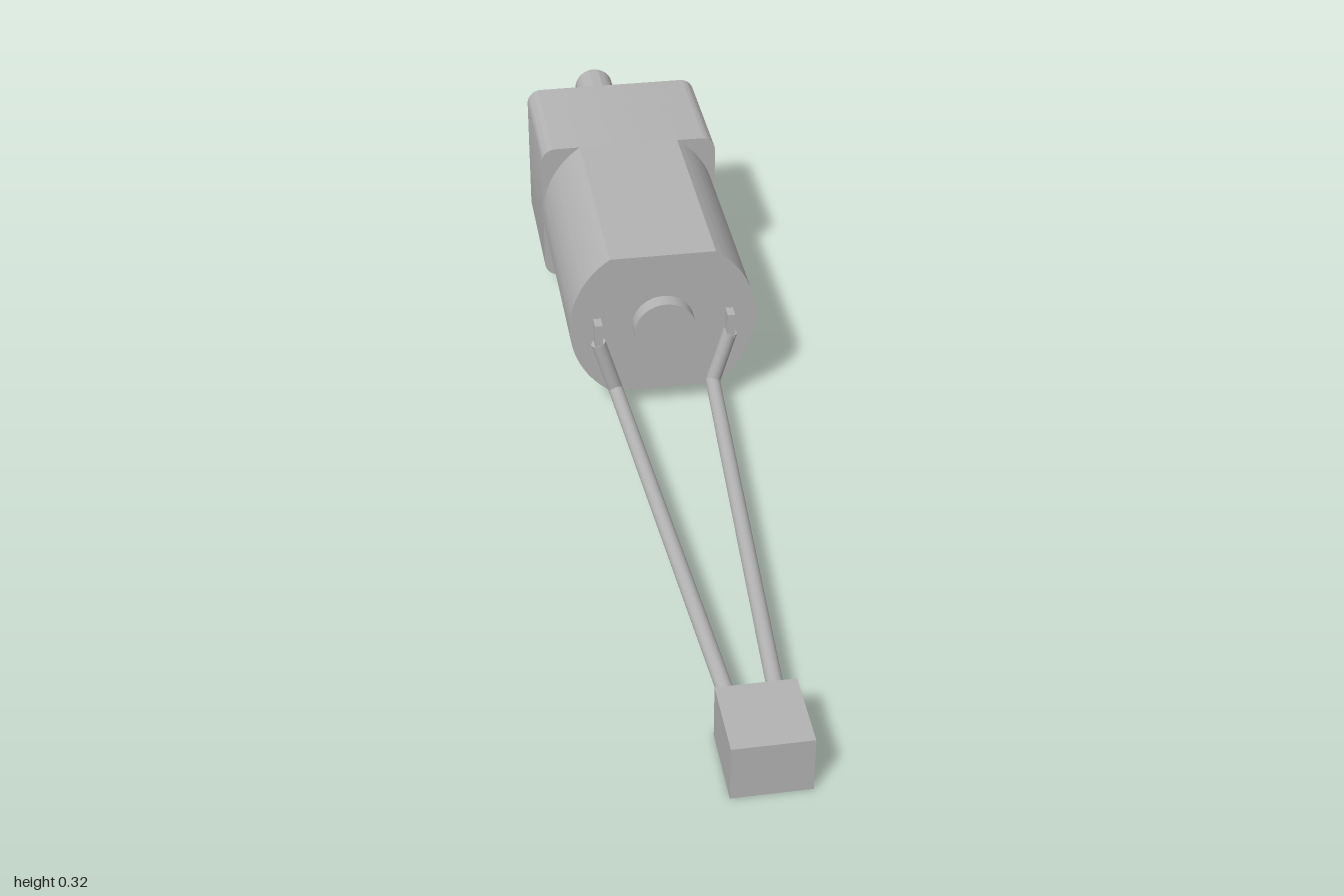
import * as THREE from 'three';
import { toCreasedNormals } from 'three/addons/utils/BufferGeometryUtils.js';

const AXIS_Y = 0.18; // height of the motor axis

export function createModel() {
  const group = new THREE.Group();
  const metal = new THREE.MeshStandardMaterial({ color: 0xb3b3b3 });
  metal.name = 'plain grey';

  const add = (name, geometry, x = 0, y = 0, z = 0) => {
    const mesh = new THREE.Mesh(geometry, metal);
    mesh.name = name;
    mesh.position.set(x, y, z);
    group.add(mesh);
    return mesh;
  };

  // Extrude a profile centred on the motor axis from z0 to z1
  const prism = (name, shape, z0, z1) => {
    const geo = new THREE.ExtrudeGeometry(shape, { depth: z1 - z0, bevelEnabled: false, curveSegments: 24 });
    return add(name, toCreasedNormals(geo, 0.5), 0, AXIS_Y, z0);
  };

  // Round bar between two points
  const rod = (name, a, b, r, sides = 32) => {
    const dir = b.clone().sub(a);
    const mesh = add(name, new THREE.CylinderGeometry(r, r, dir.length(), sides));
    mesh.position.copy(a).addScaledVector(dir, 0.5);
    mesh.quaternion.setFromUnitVectors(new THREE.Vector3(0, 1, 0), dir.normalize());
    return mesh;
  };
  const axial = (name, r, z0, z1) =>
    rod(name, new THREE.Vector3(0, AXIS_Y, z0), new THREE.Vector3(0, AXIS_Y, z1), r, 48);

  // Gearbox: rounded block with two blind mounting holes in the back
  const w = 0.172, h = 0.1425, c = 0.028;
  const block = () => {
    const s = new THREE.Shape();
    s.moveTo(w - c, -h);
    s.absarc(w - c, -h + c, c, -Math.PI / 2, 0);
    s.absarc(w - c, h - c, c, 0, Math.PI / 2);
    s.absarc(-w + c, h - c, c, Math.PI / 2, Math.PI);
    s.absarc(-w + c, -h + c, c, Math.PI, Math.PI * 1.5);
    s.closePath();
    return s;
  };
  const drilled = block();
  for (const side of [-1, 1]) {
    const hole = new THREE.Path();
    hole.absarc(side * 0.129, 0, 0.026, 0, Math.PI * 2, true);
    drilled.holes.push(hole);
  }
  prism('gearboxBack', drilled, -0.715, -0.615);
  prism('gearboxFront', block(), -0.615, -0.455);

  // Motor can: cylinder with flat top and bottom
  const a = Math.asin(h / w);
  const can = new THREE.Shape();
  can.absarc(0, 0, w, -a, a);
  can.absarc(0, 0, w, Math.PI - a, Math.PI + a);
  can.closePath();
  prism('motorCan', can, -0.455, -0.025);

  // Bearing bosses and output shaft, flattened underneath near its end
  axial('frontBoss', 0.057, -0.03, 0.005);
  axial('rearBoss', 0.057, -0.74, -0.71);
  axial('shaftRoot', 0.04, -0.825, -0.735);
  const f = Math.asin(0.031 / 0.04);
  const dShape = new THREE.Shape();
  dShape.absarc(0, 0, 0.04, -f, Math.PI + f);
  dShape.closePath();
  prism('shaftTip', dShape, -1, -0.825);

  // Terminals and wires
  for (const s of [-1, 1]) {
    add('terminal', new THREE.BoxGeometry(0.014, 0.05, 0.027), s * 0.122, 0.175, -0.0125);
    const top = new THREE.Vector3(s * 0.122, 0.157, -0.011);
    const elbow = new THREE.Vector3(s * 0.091, 0.051, -0.011);
    const end = new THREE.Vector3(s * 0.036, 0.051, 0.87);
    rod('wireLead', top, elbow, 0.0135);
    rod('wire', elbow, end, 0.0135);
    add('wireElbow', new THREE.SphereGeometry(0.0135, 24, 16)).position.copy(elbow);
  }

  // Plug at the end of the wires
  add('plug', new THREE.BoxGeometry(0.127, 0.098, 0.135), 0, 0.049, 0.9325);

  return group;
}
